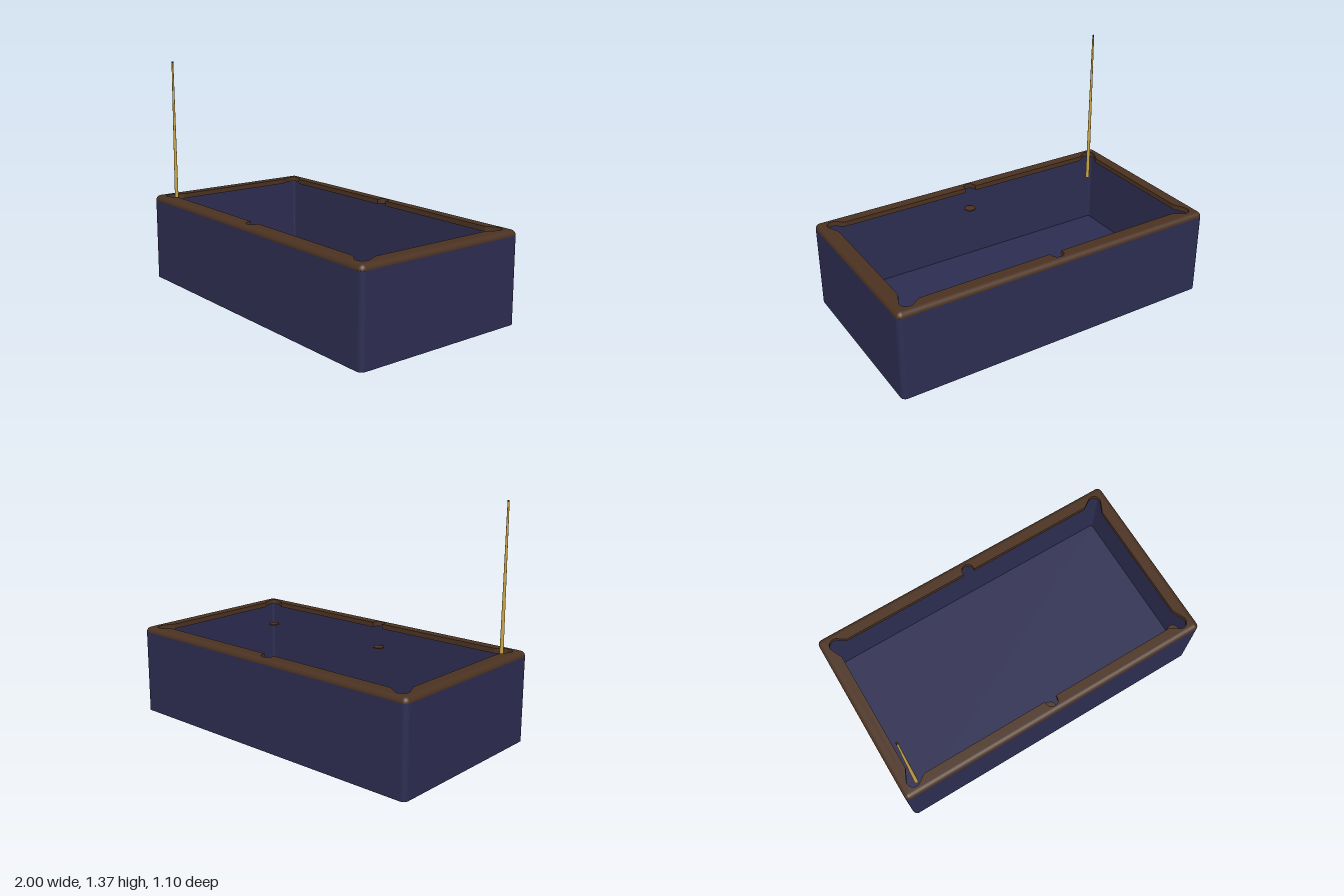
import * as THREE from 'three';

const W = 1, D = 0.55, R = 0.03, BODY_TOP = 0.5;

// rounded rectangle in plan, anticlockwise
function roundedRect(w, d, r, Type = THREE.Shape) {
  const s = new Type();
  s.moveTo(w, -d + r);
  s.lineTo(w, d - r);
  s.absarc(w - r, d - r, r, 0, Math.PI / 2);
  s.absarc(-w + r, d - r, r, Math.PI / 2, Math.PI);
  s.absarc(-w + r, -d + r, r, Math.PI, Math.PI * 1.5);
  s.absarc(w - r, -d + r, r, Math.PI * 1.5, Math.PI * 2);
  return s;
}

function slab(shape, y, height) {
  const g = new THREE.ExtrudeGeometry(shape, { depth: height, bevelEnabled: false, curveSegments: 8 });
  return g.rotateX(-Math.PI / 2).translate(0, y, 0);
}

function arc(cx, cy, r, from, to, n) {
  return Array.from({ length: n + 1 }, (_, i) => {
    const a = from + (to - from) * i / n;
    return new THREE.Vector2(cx + r * Math.cos(a), cy + r * Math.sin(a));
  });
}

// inner opening with corner and middle pockets, one quarter mirrored
function pocketOpening() {
  const quarter = [
    new THREE.Vector2(0.915, 0.385),
    ...arc(0.91, 0.468, 0.04, -0.4, Math.PI / 2 + 0.4, 12),
    new THREE.Vector2(0.84, 0.467),
    new THREE.Vector2(0.037, 0.467),
    ...arc(0, 0.48, 0.037, 0, Math.PI / 2, 8),
  ];
  const mirrored = quarter.slice(0, -1).reverse().map(p => new THREE.Vector2(-p.x, p.y));
  const half = [...quarter, ...mirrored];
  return new THREE.Path([...half, ...half.map(p => p.clone().negate())]);
}

// quarter-round band around the outside of the rim
function roundedBand() {
  const seg = 6, pos = [], nor = [], idx = [];
  const signs = [[1, 1], [-1, 1], [-1, -1], [1, -1]];
  const path = [];
  signs.forEach(([sx, sz], c) => {
    for (let i = 0; i <= seg; i++) path.push([sx * (W - R), sz * (D - R), (c + i / seg) * Math.PI / 2]);
  });
  path.push(path[0]);
  for (let j = 0; j <= seg; j++) {
    const b = j / seg * Math.PI / 2;
    for (const [x, p, a] of path) {
      const n = [Math.cos(b) * Math.cos(a), Math.sin(b), -Math.cos(b) * Math.sin(a)];
      nor.push(...n);
      pos.push(x + R * n[0], BODY_TOP + R * n[1], -p + R * n[2]);
    }
  }
  const m = path.length;
  for (let j = 0; j < seg; j++) {
    for (let i = 0; i < m - 1; i++) {
      const k = j * m + i;
      idx.push(k, k + 1, k + m + 1, k, k + m + 1, k + m);
    }
  }
  const g = new THREE.BufferGeometry();
  g.setAttribute('position', new THREE.Float32BufferAttribute(pos, 3));
  g.setAttribute('normal', new THREE.Float32BufferAttribute(nor, 3));
  g.setIndex(idx);
  return g;
}

export function createModel() {
  const model = new THREE.Group();
  const material = (name, color) => Object.assign(new THREE.MeshStandardMaterial({ color }), { name });
  const navy = material('navy', 0x2d2d52);
  const brown = material('darkWood', 0x4b3221);
  const gold = material('paleWood', 0xc9a545);
  const dark = material('tipDark', 0x2a1c14);

  const add = (name, geometry, mat, parent = model) => {
    const mesh = new THREE.Mesh(geometry, mat);
    mesh.name = name;
    parent.add(mesh);
    return mesh;
  };

  // open box body
  const walls = roundedRect(W, D, R);
  walls.holes.push(roundedRect(W - 0.015, D - 0.015, R - 0.015, THREE.Path));
  add('bodyWalls', slab(walls, 0, BODY_TOP), navy);
  add('bodyFloor', slab(roundedRect(W - 0.005, D - 0.005, R - 0.005), 0, 0.015), navy);

  // wooden rim
  const rim = new THREE.Group();
  rim.name = 'rim';
  model.add(rim);
  const top = new THREE.Shape([[1, -1], [1, 1], [-1, 1], [-1, -1]]
    .map(([x, y]) => new THREE.Vector2(x * (W - R), y * (D - R))));
  top.holes.push(pocketOpening());
  add('rimTop', slab(top, BODY_TOP, R), brown, rim);
  add('rimEdge', roundedBand(), brown, rim);

  // pocket discs along the front
  for (const [x, z] of [[0, 0.48], [0.9, 0.455]]) {
    add('pocketDisc', new THREE.CylinderGeometry(0.034, 0.034, 0.008, 24).translate(x, 0.374, z), brown);
  }

  // upright stick in the front corner
  const stick = new THREE.Group();
  stick.name = 'stick';
  stick.position.set(-0.897, 0, 0.45);
  model.add(stick);
  add('stickShaft', new THREE.CylinderGeometry(0.0055, 0.012, 0.98, 16).translate(0, 0.865, 0), gold, stick);
  add('stickTip', new THREE.CylinderGeometry(0.0055, 0.0055, 0.01, 16).translate(0, 1.36, 0), dark, stick);

  return model;
}
